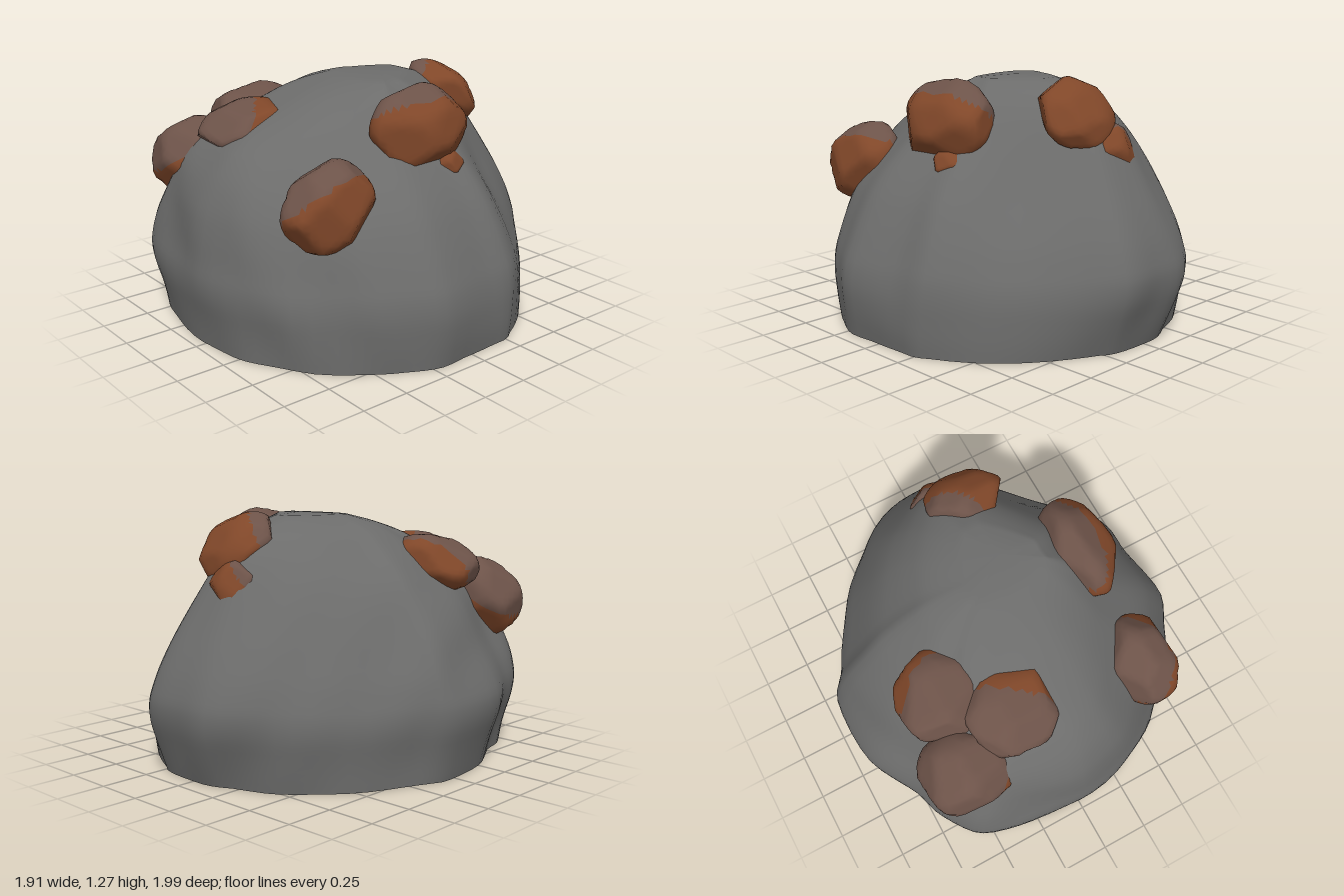
import * as THREE from 'three';
import { mergeVertices } from 'three/addons/utils/BufferGeometryUtils.js';

const mat = (name, color) => {
  const m = new THREE.MeshStandardMaterial({ color });
  m.name = name;
  return m;
};

function seeded(seed) {
  let s = seed;
  return () => (s = (s * 16807) % 2147483647) / 2147483647;
}

// Widest outline of the boulder in plan (x, z), starting at the back
const OUTLINE = [
  [0.03, -1.0], [0.23, -0.98], [0.4, -0.84], [0.54, -0.71], [0.72, -0.52], [0.91, -0.3], [0.92, -0.1],
  [0.95, 0.2], [0.87, 0.38], [0.76, 0.55], [0.5, 0.79], [0.28, 0.93], [-0.02, 1.0],
  [-0.37, 0.95], [-0.6, 0.89], [-0.74, 0.71], [-0.79, 0.54], [-0.92, 0.27], [-0.95, -0.1],
  [-0.84, -0.25], [-0.65, -0.58], [-0.44, -0.82], [-0.17, -0.99],
];

// Height, then the reach towards -x, +x, -z, +z
const PROFILE = [
  [0, 0.87, 0.93, 0.9, 0.95], [0.15, 0.9, 0.95, 0.95, 0.97], [0.32, 0.96, 0.95, 1.01, 1.01],
  [0.45, 0.93, 0.9, 0.98, 0.98], [0.6, 0.85, 0.83, 0.91, 0.96], [0.75, 0.77, 0.74, 0.82, 0.92],
  [0.9, 0.67, 0.6, 0.73, 0.83], [1.0, 0.57, 0.5, 0.67, 0.7], [1.1, 0.46, 0.42, 0.59, 0.47],
  [1.19, 0.35, 0.34, 0.46, 0.27], [1.245, 0.15, 0.25, 0.28, 0.07],
];

function profileAt(t) {
  const f = THREE.MathUtils.clamp(t, 0, 1) * (PROFILE.length - 1);
  const i = Math.min(Math.floor(f), PROFILE.length - 2);
  return PROFILE[i].map((v, k) => THREE.MathUtils.lerp(v, PROFILE[i + 1][k], f - i));
}

// Averages neighbouring heights so the flanks roll smoothly
function smoothProfile(t) {
  const w = Math.min(0.05, t, 1 - t);
  const samples = [-1, -0.5, 0, 0.5, 1].map((o) => profileAt(t + o * w));
  return samples[0].map((_, k) => samples.reduce((sum, s) => sum + s[k], 0) / samples.length);
}

const bump = (x, y, z, c, r) =>
  Math.exp(-(((x - c[0]) / r[0]) ** 2) - ((y - c[1]) / r[1]) ** 2 - ((z - c[2]) / r[2]) ** 2);

function boulderGeometries() {
  const SEG = 88, ROWS = 40, pos = [], index = [];
  const curve = new THREE.CatmullRomCurve3(
    OUTLINE.map(([x, z]) => new THREE.Vector3(x, 0, z)), true, 'catmullrom', 0.4);
  for (let i = 0; i <= ROWS; i++) {
    const [y, xm, xp, zm, zp] = smoothProfile(i / ROWS);
    const round = 0.75 * Math.max(0, 1 - y / 0.4);
    for (let j = 0; j < SEG; j++) {
      const p = curve.getPoint(j / SEG);
      // the foot fills out the flat sides of the outline
      const r = Math.hypot(p.x / 0.95, p.z);
      p.multiplyScalar(THREE.MathUtils.lerp(1, Math.max(1, 0.99 / r), round));
      const x = p.x * (p.x < 0 ? xm : xp) / 0.95;
      const z = p.z * (p.z < 0 ? zm : zp);
      // gentle lumps, and hollows on the back left and front left shoulders
      const lump = 0.008 * Math.sin(7 * x + 5 * y) * Math.sin(6 * z - 4 * y + 1)
        + 0.006 * Math.sin(13 * x - 9 * z + 8 * y);
      const k = 1 + lump - 0.07 * bump(x, y, z, [0.52, 0.83, -0.55], [0.23, 0.32, 0.2])
        - 0.06 * bump(x, y, z, [0.42, 0.93, 0.52], [0.25, 0.22, 0.25]);
      pos.push(x * k, y, z * k);
    }
  }
  const top = pos.length / 3;
  pos.push(0.07, 1.255, -0.1);
  for (let j = 0; j < SEG; j++) {
    const n = (j + 1) % SEG;
    for (let i = 0; i < ROWS; i++) {
      const a = i * SEG + j, b = i * SEG + n, c = b + SEG, d = a + SEG;
      index.push(a, d, b, b, d, c);
    }
    index.push(top, ROWS * SEG + n, ROWS * SEG + j);
  }
  const side = new THREE.BufferGeometry();
  side.setAttribute('position', new THREE.Float32BufferAttribute(pos, 3));
  side.setIndex(index);
  side.computeVertexNormals();

  // flat underside
  const base = new THREE.BufferGeometry(), fan = [];
  for (let j = 0; j < SEG; j++) fan.push(SEG, j, (j + 1) % SEG);
  base.setAttribute('position', new THREE.Float32BufferAttribute([...pos.slice(0, SEG * 3), 0, 0, 0], 3));
  base.setIndex(fan);
  base.computeVertexNormals();
  return [side, base];
}

// Sphere cut by random planes, leaning with the slope, fitted to a box;
// faces towards `dust` use material 1
function noduleGeometry(min, max, tilt, dust, limit, seed) {
  const rnd = seeded(seed * 7919 + 13);
  for (let i = 0; i < 5; i++) rnd();
  const planes = [];
  for (let i = 0; i < 16; i++) {
    const y = 1 - 2 * (i + 0.5) / 16, a = i * 2.4 + rnd() * 0.7, r = Math.sqrt(1 - y * y);
    planes.push([new THREE.Vector3(r * Math.cos(a), y, r * Math.sin(a)), 0.82 + 0.16 * rnd()]);
  }
  let g = new THREE.IcosahedronGeometry(1, 6);
  g.deleteAttribute('uv');
  g.deleteAttribute('normal');
  g = mergeVertices(g, 1e-4);
  const p = g.attributes.position, v = new THREE.Vector3();
  const out = new THREE.Vector3(min[0] + max[0], 0, min[2] + max[2]).normalize();
  const dir = new THREE.Vector3(...dust).normalize(), facing = [];
  for (let i = 0; i < p.count; i++) {
    v.fromBufferAttribute(p, i).normalize();
    facing.push(v.dot(dir));
    let r = 1.04;
    for (const [n, d] of planes) {
      const c = v.dot(n);
      if (c > 0) r = Math.min(r, d / c);
    }
    p.setXYZ(i, v.x * r, (v.y - tilt * v.dot(out)) * r, v.z * r);
  }
  g.computeBoundingBox();
  const size = g.boundingBox.getSize(new THREE.Vector3());
  g.translate(...g.boundingBox.min.clone().negate().toArray());
  g.scale(...size.toArray().map((s, k) => (max[k] - min[k]) / s));
  g.translate(...min);
  g.computeVertexNormals();

  const parts = [[], []], idx = g.index.array;
  for (let i = 0; i < idx.length; i += 3) {
    const f = (facing[idx[i]] + facing[idx[i + 1]] + facing[idx[i + 2]]) / 3;
    parts[f > limit ? 1 : 0].push(idx[i], idx[i + 1], idx[i + 2]);
  }
  g.setIndex([...parts[0], ...parts[1]]);
  g.addGroup(0, parts[0].length, 0);
  g.addGroup(parts[0].length, parts[1].length, 1);
  return g;
}

// Name, box minimum, box maximum, lean, dusty direction, dusty threshold
const NODULES = [
  ['upperRightNodule', [-0.71, 0.85, 0.08], [-0.26, 1.15, 0.54], 0.2, [0.35, 0.3, 0.9], -0.35],
  ['lowerRightNodule', [-0.76, 0.57, 0.44], [-0.28, 1.01, 0.86], 0.1, [-0.4, 0.9, 0.1], 0.05],
  ['frontNodule', [-0.45, 0.87, 0.32], [0.02, 1.14, 0.76], 0.3, [-0.5, 0.1, 0.7], -0.15],
  ['frontLeftNodule', [0.34, 0.57, 0.34], [0.7, 0.99, 0.81], 0.2, [-0.65, 0.75, 0.15], 0.2],
  ['leftNodule', [0.3, 0.84, -0.29], [0.66, 1.26, 0.26], 0.2, [-0.6, 0.7, 0], 0.35],
  ['backNodule', [-0.12, 0.94, -0.69], [0.31, 1.27, -0.35], 0.6, [-0.7, 0.3, 0.6], 0.6],
  ['smallBackNodule', [-0.16, 0.81, -0.76], [0.11, 1.06, -0.54], 0.3, [-0.5, 0.6, 0.4], 0.5],
  ['smallLeftNodule', [0.44, 0.8, -0.23], [0.645, 0.95, -0.04], 0.3, [-0.6, 0.3, 0.5], 0.5],
];

export function createModel() {
  const model = new THREE.Group();
  model.name = 'oreBoulder';
  const stone = mat('stoneGrey', 0x6c6c6b);
  const ore = [mat('rustOre', 0x804729), mat('dustyOre', 0x6d5349)];

  boulderGeometries().forEach((g, i) => {
    const m = new THREE.Mesh(g, stone);
    m.name = i ? 'boulderUnderside' : 'boulder';
    model.add(m);
  });
  NODULES.forEach(([name, min, max, tilt, dust, limit], i) => {
    const m = new THREE.Mesh(noduleGeometry(min, max, tilt, dust, limit, i + 1), ore);
    m.name = name;
    model.add(m);
  });
  return model;
}
